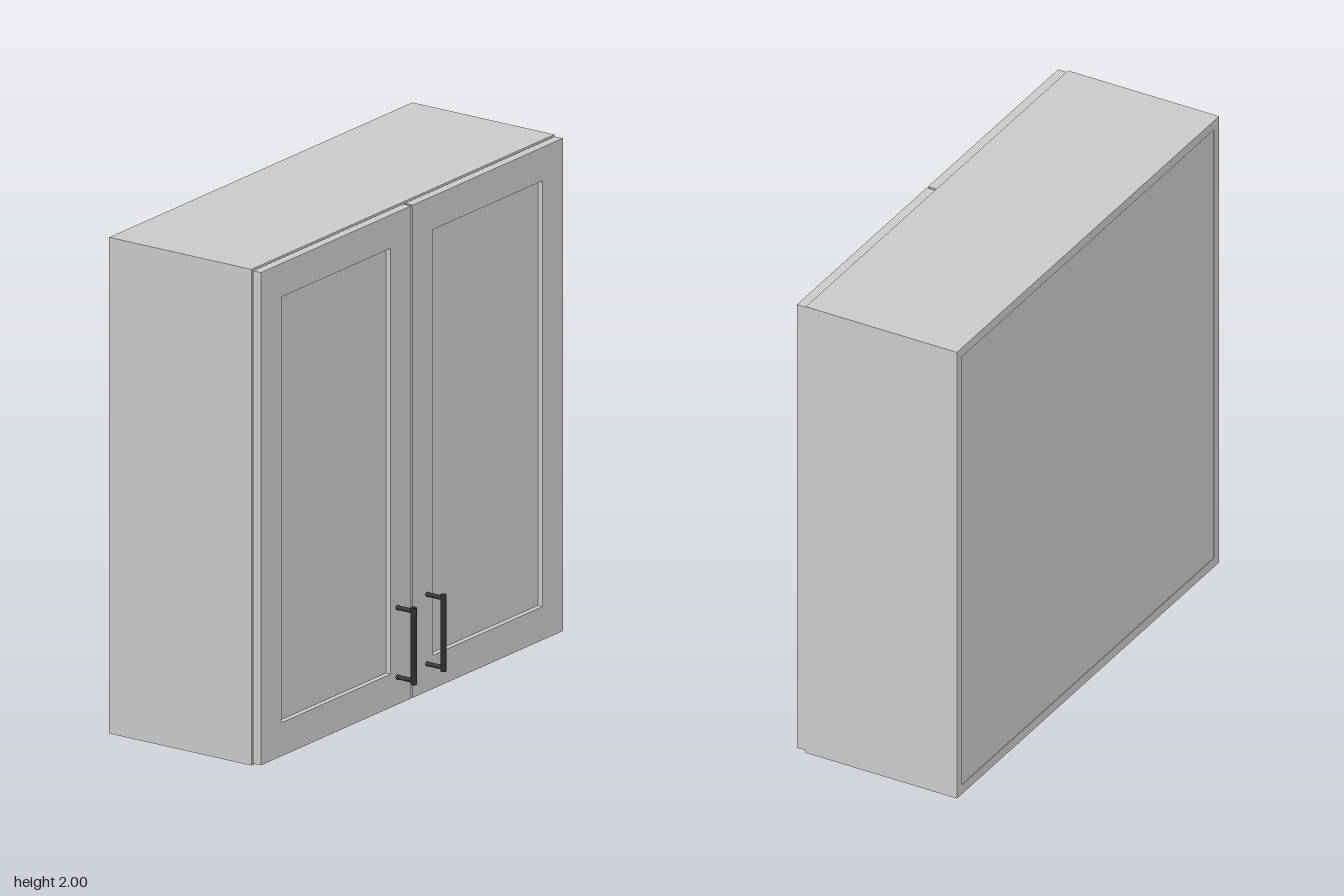
import * as THREE from 'three';

const grey = new THREE.MeshStandardMaterial({ color: 0xcccccc });
const dark = new THREE.MeshStandardMaterial({ color: 0x2b2e32 });

// box given by its min and max corners
function box(parent, name, [x0, y0, z0], [x1, y1, z1]) {
  const mesh = new THREE.Mesh(new THREE.BoxGeometry(x1 - x0, y1 - y0, z1 - z0), grey);
  mesh.position.set((x0 + x1) / 2, (y0 + y1) / 2, (z0 + z1) / 2);
  mesh.name = name;
  parent.add(mesh);
}

function rod(parent, name, radius, length, position, alongZ) {
  const mesh = new THREE.Mesh(new THREE.CylinderGeometry(radius, radius, length, 24), dark);
  mesh.position.set(...position);
  if (alongZ) mesh.rotation.x = Math.PI / 2;
  mesh.name = name;
  parent.add(mesh);
}

const BACK = -0.4, CARCASS = 0.268, FRONT = 0.31, T = 0.04;

function makeCarcass() {
  const g = new THREE.Group();
  g.name = 'carcass';
  const inner = 1 - T;
  box(g, 'rightSide', [-1, 0, BACK], [-inner, 2, CARCASS]);
  box(g, 'leftSide', [inner, 0, BACK], [1, 2, CARCASS]);
  box(g, 'bottomPanel', [-inner, 0, BACK], [inner, T, CARCASS]);
  box(g, 'topPanel', [-inner, 2 - T, BACK], [inner, 2, CARCASS]);
  box(g, 'backPanel', [-inner, T, BACK + 0.003], [inner, 2 - T, BACK + 0.025]);
  for (const y of [0.65, 1.32])
    box(g, 'shelf', [-inner, y - T / 2, BACK + 0.025], [inner, y + T / 2, 0.24]);
  return g;
}

// framed door with a recessed centre panel and a bar handle
function makeDoor(side) {
  const g = new THREE.Group();
  g.name = side > 0 ? 'leftDoor' : 'rightDoor';
  const x0 = 0.005, x1 = 0.996, y0 = 0.008, y1 = 1.994, w = 0.135;
  const back = 0.272;
  const part = (name, a, b, c, d, front) => {
    const xs = [a * side, b * side].sort((p, q) => p - q);
    box(g, name, [xs[0], c, back], [xs[1], d, front]);
  };
  part('innerStile', x0, x0 + w, y0, y1, FRONT);
  part('outerStile', x1 - w, x1, y0, y1, FRONT);
  part('bottomRail', x0 + w, x1 - w, y0, y0 + w, FRONT);
  part('topRail', x0 + w, x1 - w, y1 - w, y1, FRONT);
  part('centrePanel', x0 + w, x1 - w, y0 + w, y1 - w, FRONT - 0.022);

  const handle = new THREE.Group();
  handle.name = 'handle';
  const x = 0.098 * side;
  rod(handle, 'grip', 0.012, 0.31, [x, 0.26, 0.388], false);
  for (const y of [0.12, 0.4])
    rod(handle, 'post', 0.009, 0.078, [x, y, 0.349], true);
  g.add(handle);
  return g;
}

export function createModel() {
  const model = new THREE.Group();
  model.name = 'wallCabinet';
  model.add(makeCarcass(), makeDoor(-1), makeDoor(1));
  return model;
}
